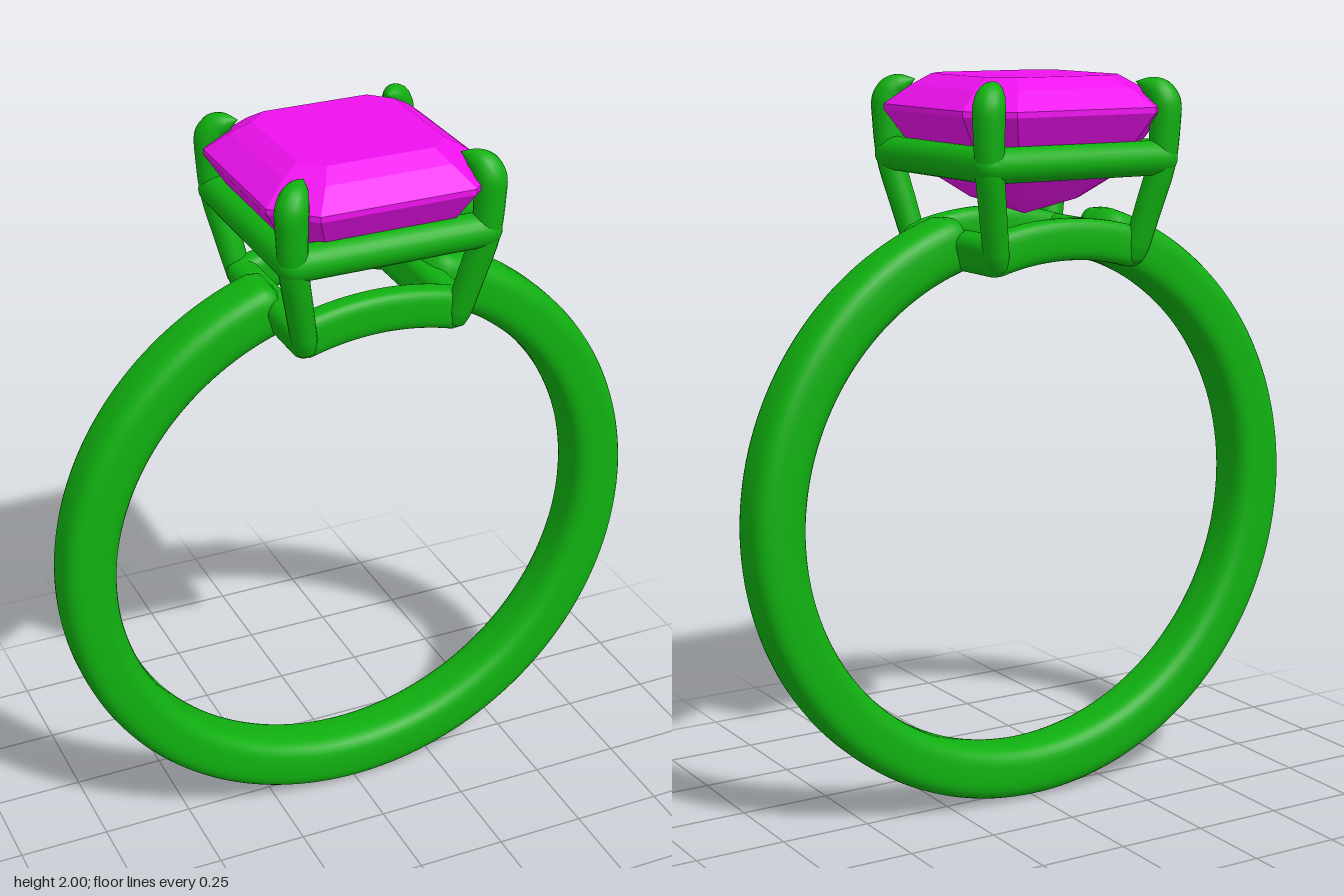
import * as THREE from 'three';
import { mergeVertices } from 'three/addons/utils/BufferGeometryUtils.js';
import { RoundedBoxGeometry } from 'three/addons/geometries/RoundedBoxGeometry.js';

const metal = new THREE.MeshStandardMaterial({ color: 0x10b010 });
const stone = new THREE.MeshStandardMaterial({ color: 0xee11ee, flatShading: true });
const RING_Y = 0.838;

function part(name, geometry, material = metal) {
  const mesh = new THREE.Mesh(geometry, material);
  mesh.name = name;
  return mesh;
}

// Join seams and recompute smooth normals
function weld(g) {
  g.deleteAttribute('uv');
  g.deleteAttribute('normal');
  const out = mergeVertices(g, 1e-5);
  out.computeVertexNormals();
  return out;
}

// Arc about the ring axis with a rounded-rectangle section and rounded ends; angle 0 is the bottom
function ringArc(rMid, halfR, halfZ, start, length, segments, round) {
  const soft = (v) => Math.sign(v) * Math.abs(v) ** 0.62;
  const profile = [];
  for (let i = 0; i <= 32; i++) {
    const t = (i / 32) * Math.PI * 2;
    profile.push(new THREE.Vector2(rMid + halfR * soft(Math.cos(t)), halfZ * soft(Math.sin(t))));
  }
  const g = new THREE.LatheGeometry(profile, segments, start, length);
  const p = g.attributes.position;
  const rows = profile.length;
  for (let i = 0; i < p.count; i++) {
    const u = Math.floor(i / rows) / segments;
    const d = Math.min(1, (Math.min(u, 1 - u) * length) / round);
    const s = Math.sqrt(1 - (1 - d) ** 2);
    const r = Math.hypot(p.getX(i), p.getZ(i));
    const k = (rMid + (r - rMid) * s) / r;
    p.setXYZ(i, p.getX(i) * k, p.getY(i) * s, p.getZ(i) * k);
  }
  g.rotateX(Math.PI / 2);
  return weld(g);
}

// Round tube whose radius follows the listed stations [x, y, z, radius]
function taperedTube(stations, segments = 48) {
  const curve = new THREE.CatmullRomCurve3(stations.map(([x, y, z]) => new THREE.Vector3(x, y, z)));
  const g = new THREE.TubeGeometry(curve, segments, 1, 18);
  const p = g.attributes.position, n = g.attributes.normal;
  const last = stations.length - 1;
  for (let i = 0; i < p.count; i++) {
    const t = curve.getUtoTmapping(Math.floor(i / 19) / segments) * last;
    const a = Math.min(Math.floor(t), last - 1);
    const r = THREE.MathUtils.lerp(stations[a][3], stations[a + 1][3], t - a);
    const k = r - 1;
    p.setXYZ(i, p.getX(i) + n.getX(i) * k, p.getY(i) + n.getY(i) * k, p.getZ(i) + n.getZ(i) * k);
  }
  return weld(g);
}

// Step-cut stone from cut-corner square loops [y, half size, corner cut], bottom to top
function stepCut(loops) {
  const pos = [], idx = [];
  for (const [y, h, cut] of loops) {
    const k = h - cut;
    for (const [x, z] of [[-k, h], [k, h], [h, k], [h, -k], [k, -h], [-k, -h], [-h, -k], [-h, k]]) pos.push(x, y, z);
  }
  for (let j = 0; j < loops.length - 1; j++) {
    for (let i = 0; i < 8; i++) {
      const a = j * 8 + i, b = j * 8 + ((i + 1) % 8);
      idx.push(a, b, b + 8, a, b + 8, a + 8);
    }
  }
  const g = new THREE.BufferGeometry();
  g.setAttribute('position', new THREE.Float32BufferAttribute(pos, 3));
  g.setIndex(idx);
  const flat = g.toNonIndexed();
  flat.computeVertexNormals();
  return flat;
}

export function createModel() {
  const model = new THREE.Group();

  // Band, open under the setting
  const gap = 0.25;
  const band = part('band', ringArc(0.7615, 0.0755, 0.08, Math.PI + gap, 2 * (Math.PI - gap), 160, 0.07));
  band.position.y = RING_Y;
  model.add(band);

  // Base frame: curved rails front and back, straight rails at the sides
  const base = new THREE.Group();
  base.name = 'baseFrame';
  const lean = 0.29, rMid = 0.741;
  for (const s of [1, -1]) {
    const arc = part('curvedBaseRail', ringArc(rMid, 0.055, 0.038, Math.PI - 0.33, 0.66, 40, 0.04));
    arc.position.set(0, RING_Y, s * 0.195);
    const side = part('sideBaseRail', new RoundedBoxGeometry(0.08, 0.108, 0.465, 5, 0.035));
    side.position.set(s * rMid * Math.sin(lean), RING_Y + rMid * Math.cos(lean), 0);
    side.rotation.z = -s * lean;
    base.add(arc, side);
  }
  model.add(base);

  // Gallery: square frame of round bars under the stone
  const gallery = new THREE.Group();
  gallery.name = 'gallery';
  for (let i = 0; i < 4; i++) {
    const side = new THREE.Group();
    const bar = part('galleryBar', new THREE.CylinderGeometry(0.046, 0.046, 0.52, 24, 1, true));
    bar.rotation.z = Math.PI / 2;
    bar.position.z = 0.26;
    const corner = part('galleryCorner', new THREE.SphereGeometry(0.046, 24, 16));
    corner.position.set(0.26, 0, 0.26);
    side.add(bar, corner);
    side.rotation.y = (i * Math.PI) / 2;
    gallery.add(side);
  }
  gallery.position.y = 1.785;
  model.add(gallery);

  // Four claw prongs, leaning out and curling over the corners of the stone
  const path = [
    [0.207, 1.5, 0], [0.209, 1.512, 0.025], [0.217, 1.55, 0.034], [0.238, 1.65, 0.036],
    [0.262, 1.77, 0.038], [0.268, 1.87, 0.041], [0.267, 1.93, 0.043],
    [0.255, 1.957, 0.038], [0.235, 1.972, 0.025], [0.212, 1.983, 0],
  ];
  const prongGeometry = taperedTube(path.map(([d, y, r]) => [d, y, d, r]), 64);
  for (let i = 0; i < 4; i++) {
    const prong = part('prong', prongGeometry);
    prong.rotation.y = (i * Math.PI) / 2;
    model.add(prong);
  }

  // Stone
  model.add(part('stone', stepCut([
    [1.63, 0, 0], [1.675, 0.12, 0.035], [1.735, 0.2, 0.06], [1.81, 0.25, 0.08],
    [1.905, 0.31, 0.1], [1.92, 0.31, 0.1], [1.97, 0.25, 0.08], [2, 0.2, 0.055], [2, 0, 0],
  ]), stone));

  return model;
}
